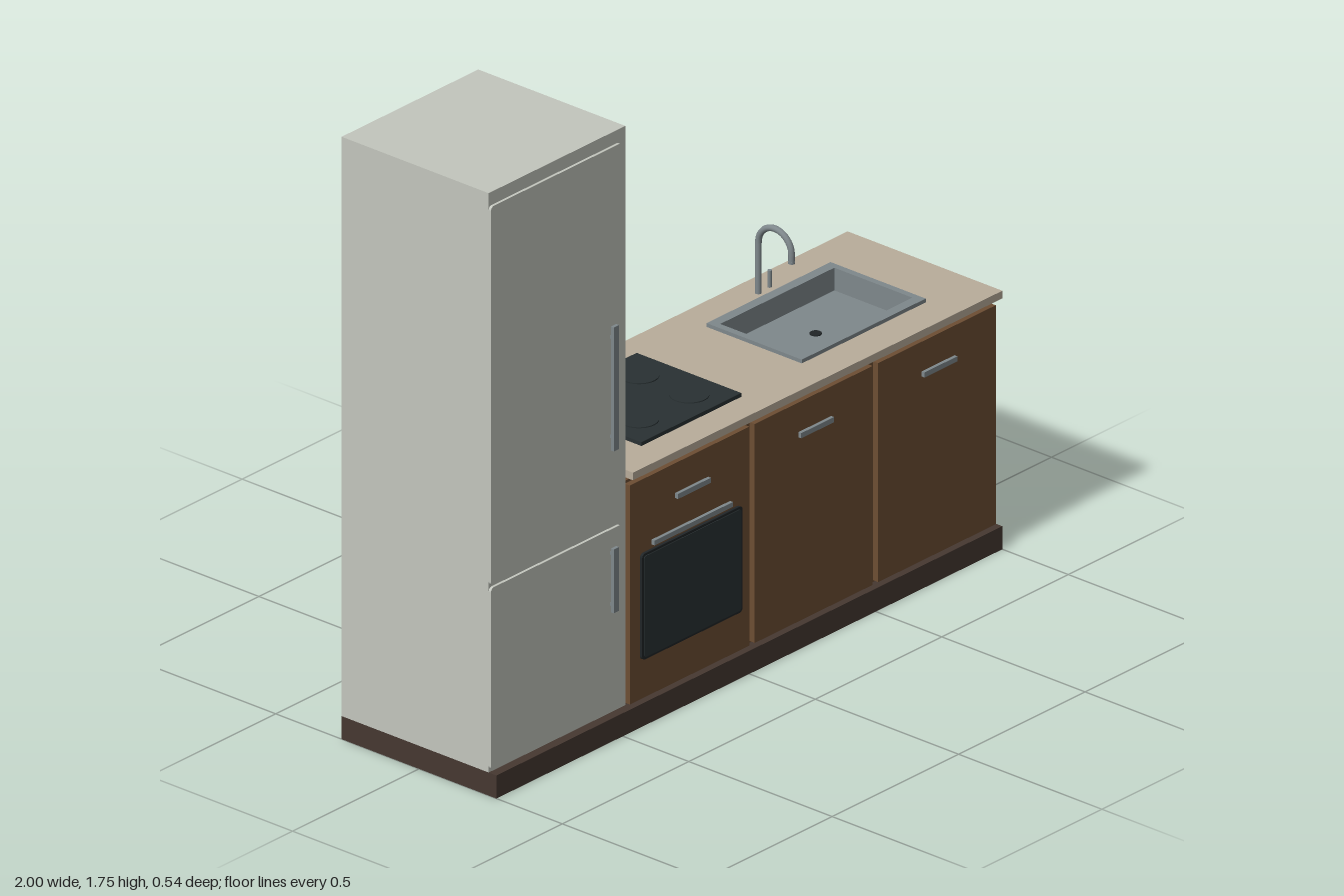
import * as THREE from 'three';

const mat = (color) => new THREE.MeshStandardMaterial({ color });

export function createModel() {
  const root = new THREE.Group();
  const white = mat(0xc3c6be), wood = mat(0x6d4e33), dark = mat(0x463831);
  const stone = mat(0xb9ad9b), steel = mat(0x7f888c), glass = mat(0x293133), black = mat(0x202527);

  const add = (name, geometry, material, parent = root) => {
    const mesh = new THREE.Mesh(geometry, material);
    mesh.name = name;
    parent.add(mesh);
    return mesh;
  };
  // Box given by its extents on each axis
  const box = (name, m, x0, x1, y0, y1, z0, z1, parent) => {
    const b = add(name, new THREE.BoxGeometry(x1 - x0, y1 - y0, z1 - z0), m, parent);
    b.position.set((x0 + x1) / 2, (y0 + y1) / 2, (z0 + z1) / 2);
    return b;
  };
  const cylinder = (name, m, r, h, x, y, z, sides = 24) => {
    const c = add(name, new THREE.CylinderGeometry(r, r, h, sides), m);
    c.position.set(x, y, z);
    return c;
  };
  const rect = (P, x0, x1, y0, y1, r = 0) => {
    const p = new P();
    if (!r) {
      p.moveTo(x0, y0).lineTo(x1, y0).lineTo(x1, y1).lineTo(x0, y1).closePath();
      return p;
    }
    p.moveTo(x0 + r, y0);
    p.absarc(x1 - r, y0 + r, r, -Math.PI / 2, 0);
    p.absarc(x1 - r, y1 - r, r, 0, Math.PI / 2);
    p.absarc(x0 + r, y1 - r, r, Math.PI / 2, Math.PI);
    p.absarc(x0 + r, y0 + r, r, Math.PI, Math.PI * 1.5);
    return p;
  };
  // Upright panel with rounded corners
  const panel = (name, m, x0, x1, y0, y1, z0, z1, r) => {
    const g = new THREE.ExtrudeGeometry(rect(THREE.Shape, x0, x1, y0, y1, r),
      { depth: z1 - z0, bevelEnabled: false, curveSegments: 5 });
    add(name, g, m).position.z = z0;
  };
  // Flat slab with a rectangular opening; outer and inner are [x0, x1, z0, z1]
  const frame = (name, m, outer, inner, y0, y1) => {
    const flip = ([a, b, c, d]) => [a, b, -d, -c];
    const s = rect(THREE.Shape, ...flip(outer));
    s.holes.push(rect(THREE.Path, ...flip(inner)));
    const g = new THREE.ExtrudeGeometry(s, { depth: y1 - y0, bevelEnabled: false });
    g.rotateX(-Math.PI / 2);
    add(name, g, m).position.y = y0;
  };
  // Bar handle on two short posts
  const handle = (name, x0, x1, y0, y1, zBase) => {
    const g = new THREE.Group();
    g.name = name;
    root.add(g);
    box('bar', steel, x0, x1, y0, y1, 0.26, 0.27, g);
    const cx = (x0 + x1) / 2, cy = (y0 + y1) / 2, tall = y1 - y0 > x1 - x0;
    for (const s of [-1, 1]) {
      const px = tall ? cx : cx + s * (x1 - x0) * 0.4;
      const py = tall ? cy + s * (y1 - y0) * 0.4 : cy;
      box('post', steel, px - 0.004, px + 0.004, py - 0.004, py + 0.004, zBase, 0.262, g);
    }
  };

  // Plinth
  box('plinth', dark, -1, 1, 0, 0.067, -0.27, 0.27);

  // Fridge
  box('fridgeBody', white, -1, -0.46, 0.067, 1.75, -0.27, 0.243);
  panel('fridgeUpperDoor', white, -1, -0.482, 0.61, 1.712, 0.243, 0.251, 0.012);
  panel('fridgeLowerDoor', white, -1, -0.482, 0.075, 0.604, 0.243, 0.251, 0.012);
  handle('fridgeUpperHandle', -0.536, -0.515, 0.84, 1.2, 0.25);
  handle('fridgeLowerHandle', -0.536, -0.515, 0.37, 0.555, 0.25);

  // Base cabinets with a hollow top rail that takes the basin
  box('cabinetBody', wood, -0.46, 0.995, 0.067, 0.68, -0.27, 0.238);
  frame('cabinetTopRail', wood, [-0.46, 0.995, -0.27, 0.238], [0.335, 0.805, -0.15, 0.15], 0.68, 0.716);
  for (const [name, x0, x1] of [['ovenDoor', -0.457, 0.016], ['middleDoor', 0.037, 0.503], ['leftDoor', 0.525, 0.99]]) {
    box(name, wood, x0, x1, 0.072, 0.708, 0.238, 0.256);
    const cx = name === 'ovenDoor' ? -0.217 : (x0 + x1) / 2;
    handle(name + 'Handle', cx - 0.065, cx + 0.065, 0.61, 0.625, 0.255);
  }

  // Oven
  panel('ovenWindow', black, -0.417, -0.02, 0.187, 0.495, 0.256, 0.264, 0.012);
  panel('ovenGlass', glass, -0.41, -0.027, 0.194, 0.488, 0.264, 0.266, 0.008);
  handle('ovenHandle', -0.375, -0.065, 0.509, 0.523, 0.255);

  // Countertop
  frame('countertop', stone, [-0.46, 1, -0.27, 0.27], [0.335, 0.805, -0.15, 0.15], 0.729, 0.751);

  // Hob
  box('hob', glass, -0.325, 0.07, 0.751, 0.762, -0.185, 0.18);
  for (const x of [-0.227, -0.028]) for (const z of [-0.09, 0.085]) {
    cylinder('burner', glass, 0.053, 0.004, x, 0.763, z, 40);
  }

  // Sink
  frame('sinkRim', steel, [0.325, 0.815, -0.166, 0.166], [0.345, 0.796, -0.136, 0.136], 0.751, 0.762);
  frame('sinkWalls', steel, [0.335, 0.805, -0.15, 0.15], [0.345, 0.796, -0.136, 0.136], 0.69, 0.751);
  box('sinkFloor', steel, 0.335, 0.805, 0.682, 0.696, -0.15, 0.15);
  cylinder('drain', black, 0.016, 0.004, 0.568, 0.697, 0);

  // Faucet: riser, half-circle arch and short spout
  const path = new THREE.CurvePath();
  const v = (y, z) => new THREE.Vector3(0.568, y, z);
  const arch = [];
  for (let i = 0; i <= 12; i++) {
    const a = Math.PI * i / 12;
    arch.push(v(0.898 + 0.058 * Math.sin(a), -0.142 - 0.058 * Math.cos(a)));
  }
  path.add(new THREE.LineCurve3(v(0.75, -0.2), arch[0]));
  path.add(new THREE.CatmullRomCurve3(arch));
  path.add(new THREE.LineCurve3(arch[12], v(0.877, -0.084)));
  add('faucet', new THREE.TubeGeometry(path, 60, 0.009, 12), steel);
  cylinder('spoutTip', steel, 0.0095, 0.006, 0.568, 0.877, -0.084, 12);
  cylinder('faucetLever', steel, 0.006, 0.05, 0.615, 0.775, -0.202, 12);

  return root;
}
